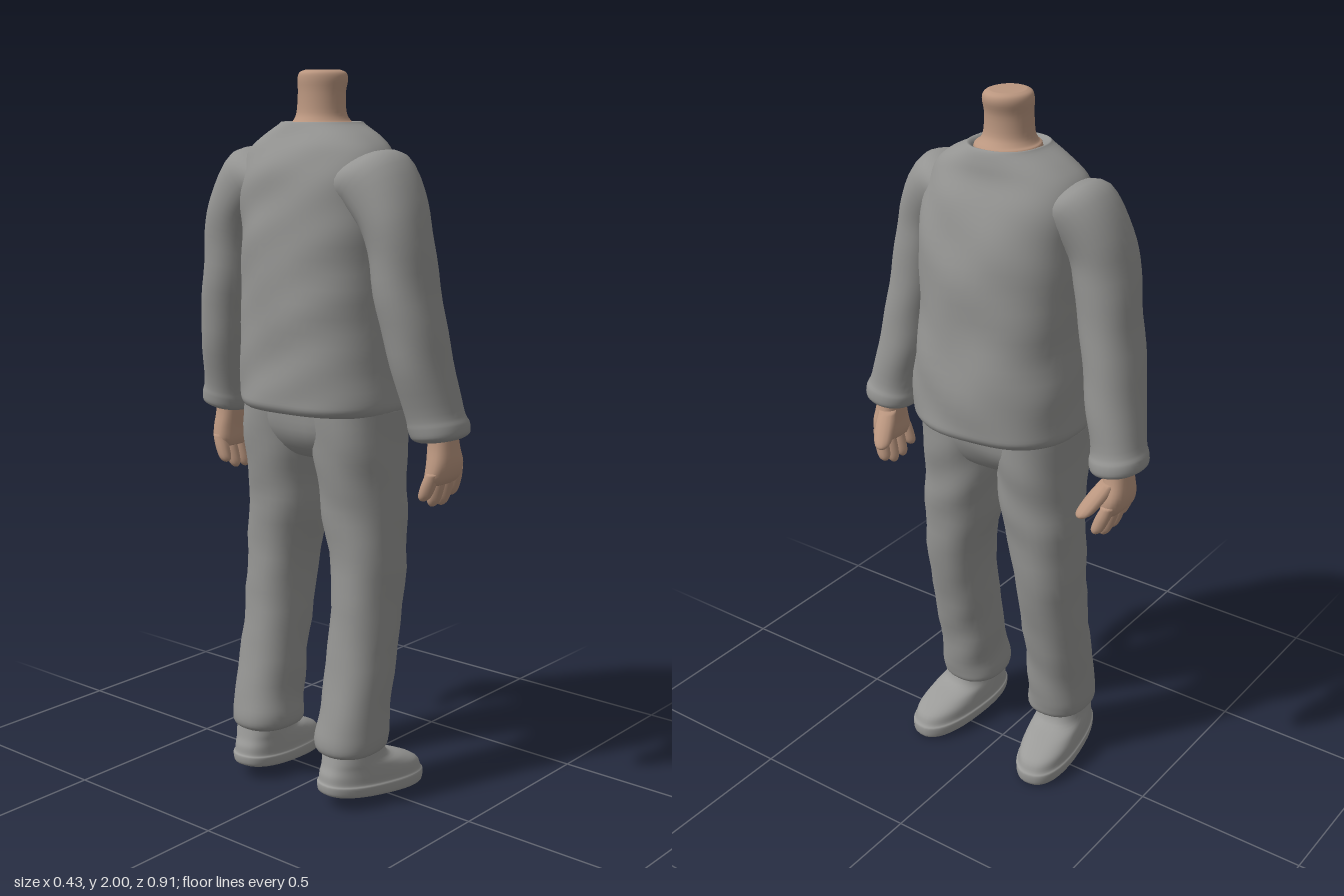
import * as THREE from 'three';

const material = (name, color) => Object.assign(new THREE.MeshStandardMaterial({ color }), { name });

// Catmull-Rom interpolation between cross-section rows
function refine(rows, steps) {
  const out = [];
  const last = rows.length - 1;
  for (let i = 0; i < last; i++) {
    const [p, q, r, s] = [rows[Math.max(i - 1, 0)], rows[i], rows[i + 1], rows[Math.min(i + 2, last)]];
    for (let k = 0; k < steps; k++) {
      const t = k / steps;
      out.push(q.map((b, j) => {
        const c1 = r[j] - p[j];
        const c2 = 2 * p[j] - 5 * b + 4 * r[j] - s[j];
        const c3 = 3 * (b - r[j]) + s[j] - p[j];
        return b + 0.5 * t * (c1 + t * (c2 + t * c3));
      }));
    }
  }
  out.push(rows[last]);
  return out;
}

// Soft cloth folds
const fold = (x, y, z) => Math.sin(23 * y + 9 * x + 7 * z) * Math.sin(15 * x - 19 * z + 6 * y)
  + 0.6 * Math.sin(41 * y - 25 * z + 12 * x);

// Smooth closed skin over rows [x, y, z, half depth, half width, tilt in degrees]
function loft(rows, { sides = 32, power = 2, wrinkle = 0, steps = 4, bend = null } = {}) {
  const rings = refine(rows.map(r => [...r, 0].slice(0, 6)), steps);
  const pos = [], index = [];
  const add = (x, y, z) => pos.push(x, bend ? bend(x, y) : y, z);
  for (const [x, y, z, a, b, tilt] of rings) {
    const t = THREE.MathUtils.degToRad(tilt);
    for (let i = 0; i < sides; i++) {
      const th = (i / sides) * Math.PI * 2;
      const c = Math.cos(th), s = Math.sin(th);
      const u = Math.sign(c) * Math.pow(Math.abs(c), 2 / power);
      const v = Math.sign(s) * Math.pow(Math.abs(s), 2 / power);
      const w = wrinkle * fold(x + a * u, y, z + b * v);
      const side = v * (b + w);
      add(x + u * (a + w), y + side * Math.sin(t), z + side * Math.cos(t));
    }
  }
  const n = rings.length;
  for (let k = 0; k < n - 1; k++) {
    for (let i = 0; i < sides; i++) {
      const a = k * sides + i, b = k * sides + (i + 1) % sides;
      index.push(a, a + sides, b, b, a + sides, b + sides);
    }
  }
  // End caps
  add(...rings[0].slice(0, 3));
  add(...rings[n - 1].slice(0, 3));
  const end = (n - 1) * sides;
  for (let i = 0; i < sides; i++) {
    const j = (i + 1) % sides;
    index.push(n * sides, i, j, n * sides + 1, end + j, end + i);
  }
  return finish(pos, index);
}

// Turn all faces outward and smooth the normals
function finish(pos, index) {
  let volume = 0;
  const p = i => new THREE.Vector3().fromArray(pos, i * 3);
  for (let i = 0; i < index.length; i += 3) {
    volume += p(index[i]).dot(p(index[i + 1]).cross(p(index[i + 2])));
  }
  if (volume < 0) index.reverse();
  const g = new THREE.BufferGeometry();
  g.setAttribute('position', new THREE.Float32BufferAttribute(pos, 3));
  g.setIndex(index);
  g.computeVertexNormals();
  return g;
}

function mirrored(g) {
  const pos = Array.from(g.attributes.position.array, (v, i) => (i % 3 === 2 ? -v : v));
  return finish(pos, Array.from(g.index.array));
}

// Rounded digit from base to tip
function digit(base, tip, r) {
  const at = (t, k) => [0, 1, 2].map(i => base[i] + (tip[i] - base[i]) * t).concat(r * k, r * k);
  const rows = [at(0, 0.9), at(0.35, 1.05), at(0.7, 1), at(0.88, 0.8), at(0.97, 0.45), at(1, 0.1)];
  return loft(rows, { sides: 12, steps: 3 });
}

export function createModel() {
  const model = new THREE.Group();
  const cloth = material('grey cloth', 0x949492);
  const leather = material('shoe grey', 0x9b9b99);
  const skin = material('skin', 0xba967f);

  const part = (name, g, mat) => {
    const mesh = new THREE.Mesh(g, mat);
    mesh.name = name;
    model.add(mesh);
  };
  // The figure faces +x, so its own left is -z
  const pair = (name, g, mat) => {
    part('left ' + name, g, mat);
    part('right ' + name, mirrored(g), mat);
  };

  // Neck, flaring out inside the collar
  part('neck', loft([
    [-0.025, 1.80, 0, 0.09, 0.085], [-0.025, 1.856, 0, 0.092, 0.088], [-0.028, 1.868, 0, 0.08, 0.076],
    [-0.03, 1.89, 0, 0.067, 0.067], [-0.029, 1.94, 0, 0.064, 0.064], [-0.025, 1.975, 0, 0.069, 0.066],
    [-0.025, 1.993, 0, 0.065, 0.06], [-0.025, 2.0, 0, 0.05, 0.045],
  ]), skin);

  // Sweater body with rounded hem and collar
  part('sweater body', loft([
    [-0.005, 1.125, 0, 0.17, 0.21], [-0.005, 1.1, 0, 0.195, 0.228], [-0.005, 1.115, 0, 0.213, 0.243],
    [-0.005, 1.15, 0, 0.213, 0.245], [-0.005, 1.25, 0, 0.21, 0.24], [-0.015, 1.4, 0, 0.2, 0.23],
    [-0.016, 1.55, 0, 0.194, 0.232], [-0.022, 1.65, 0, 0.178, 0.236], [-0.03, 1.73, 0, 0.16, 0.232],
    [-0.033, 1.79, 0, 0.135, 0.212], [-0.028, 1.83, 0, 0.12, 0.165], [-0.025, 1.858, 0, 0.108, 0.112],
    [-0.025, 1.866, 0, 0.1, 0.1], [-0.025, 1.858, 0, 0.09, 0.088], [-0.025, 1.84, 0, 0.08, 0.08],
  ], { sides: 56, power: 2.4, wrinkle: 0.0028 }), cloth);

  // Sleeves
  pair('sleeve', loft([
    [-0.04, 1.70, -0.12, 0.12, 0.1, -60], [-0.048, 1.712, -0.2, 0.115, 0.102, -50],
    [-0.055, 1.64, -0.262, 0.104, 0.085, -25], [-0.055, 1.55, -0.29, 0.097, 0.08, -13],
    [-0.047, 1.4, -0.315, 0.097, 0.077, -9], [-0.03, 1.25, -0.343, 0.092, 0.075, -9],
    [-0.006, 1.12, -0.37, 0.081, 0.072, -9], [0.003, 1.085, -0.378, 0.085, 0.077, -9],
    [0.006, 1.058, -0.383, 0.081, 0.073, -9], [0.007, 1.047, -0.385, 0.062, 0.053, -9],
  ], { power: 2.15, wrinkle: 0.002 }), cloth);

  // Palms
  pair('palm', loft([
    [0.01, 1.08, -0.385, 0.042, 0.034], [0.012, 1.03, -0.387, 0.048, 0.036], [0.015, 0.985, -0.389, 0.062, 0.036],
    [0.012, 0.95, -0.385, 0.066, 0.031], [0.01, 0.93, -0.38, 0.058, 0.02],
  ], { sides: 24, power: 2.4 }), skin);

  // Four curled fingers and the thumb
  [0.885, 0.863, 0.86, 0.88].forEach((y, i) => {
    const x = -0.038 + i * 0.035;
    pair('finger ' + (i + 1), digit([x, 0.965, -0.39], [x * 1.15 + 0.004, y, -0.36], 0.0195), skin);
  });
  pair('thumb', digit([0.045, 1.025, -0.375], [0.122, 0.94, -0.338], 0.027), skin);

  // Trousers: seat and legs
  part('trouser seat', loft([
    [-0.015, 1.14, 0, 0.15, 0.23], [-0.015, 1.05, 0, 0.145, 0.228], [-0.013, 0.995, 0, 0.12, 0.19],
    [-0.012, 0.965, 0, 0.085, 0.12], [-0.012, 0.955, 0, 0.04, 0.06],
  ], { sides: 40, power: 2.4, wrinkle: 0.002 }), cloth);
  pair('trouser leg', loft([
    [-0.015, 1.13, -0.122, 0.15, 0.118], [-0.015, 1.0, -0.124, 0.141, 0.117], [-0.011, 0.9, -0.131, 0.128, 0.113],
    [-0.009, 0.8, -0.139, 0.119, 0.106], [-0.018, 0.6, -0.159, 0.109, 0.09], [-0.05, 0.4, -0.16, 0.102, 0.088],
    [-0.078, 0.25, -0.158, 0.104, 0.09], [-0.085, 0.19, -0.158, 0.107, 0.094],
    [-0.085, 0.16, -0.158, 0.103, 0.09], [-0.085, 0.147, -0.158, 0.085, 0.072],
  ], { power: 2.25, wrinkle: 0.0028 }), cloth);

  // Shoes, toes turned out and heels slightly raised
  const shoe = loft([
    [-0.025, 0, 0, 0.165, 0.07], [-0.025, 0.01, 0, 0.178, 0.081], [-0.025, 0.038, 0, 0.181, 0.084],
    [-0.026, 0.048, 0, 0.175, 0.079], [-0.032, 0.075, 0, 0.166, 0.077], [-0.055, 0.1, 0, 0.135, 0.074],
    [-0.085, 0.125, 0, 0.1, 0.07], [-0.09, 0.17, 0, 0.088, 0.066],
  ], { sides: 40, power: 2.4, bend: (x, y) => y + (0.155 - x) * 0.12 * (1 - y / 0.18) });
  shoe.rotateY(0.14).translate(0, 0, -0.18);
  pair('shoe', shoe, leather);

  return model;
}
